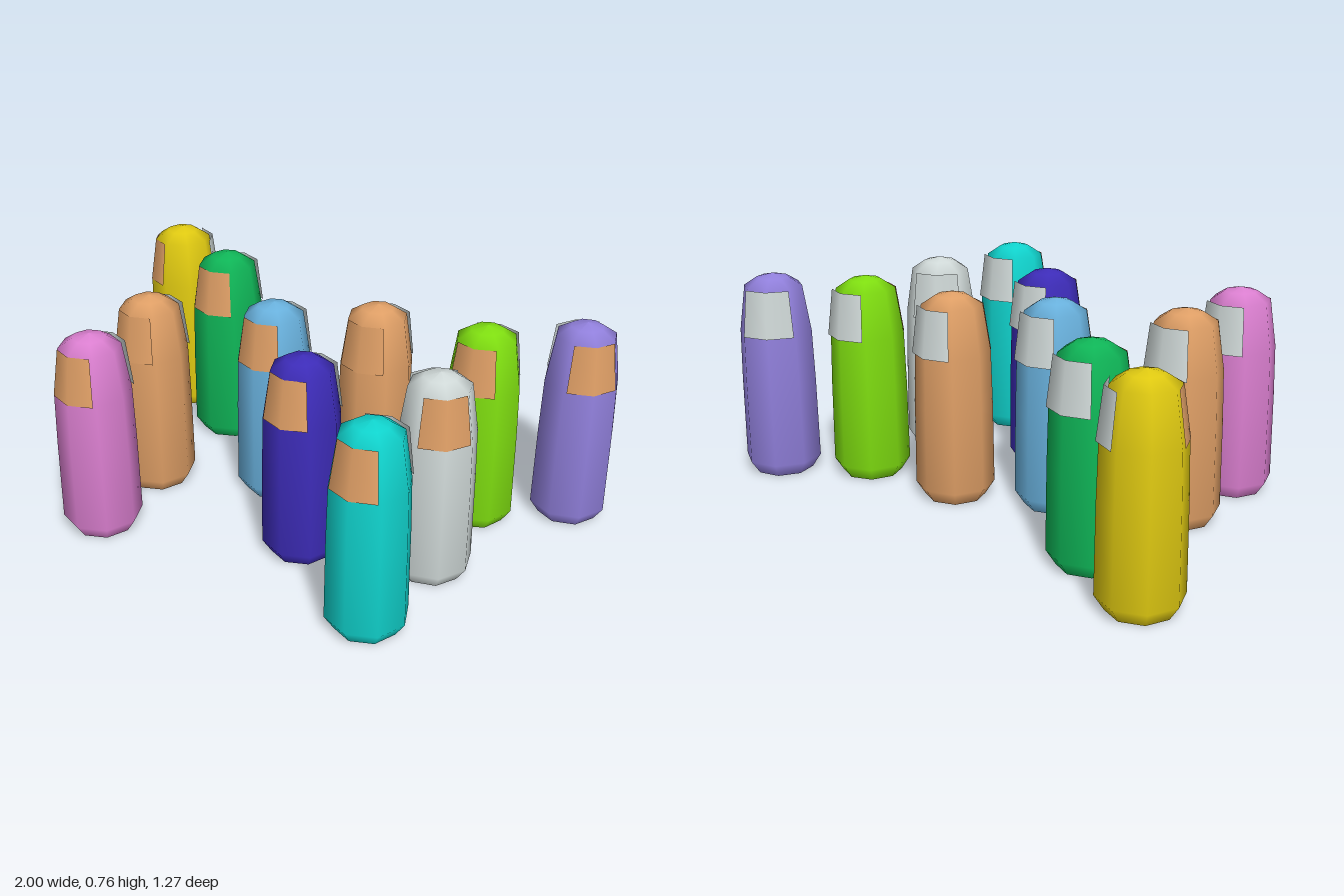
import * as THREE from 'three';

const mat = (name, color) =>
  new THREE.MeshStandardMaterial({ name, color, side: THREE.DoubleSide });

const M = {
  yellow: mat('yellow', 0xdfc911),
  green: mat('green', 0x0fb557),
  blue: mat('sky blue', 0x69b1dd),
  tan: mat('tan', 0xdf9f66),
  pink: mat('pink', 0xdb7fd0),
  indigo: mat('indigo', 0x3d2cb8),
  lime: mat('lime', 0x7fde10),
  grey: mat('pale grey', 0xd0d9d8),
  teal: mat('teal', 0x10d3cd),
  purple: mat('purple', 0x9180dc),
};

const DEG = Math.PI / 180;
const profile = (pts) => pts.map(([r, y]) => new THREE.Vector2(r, y));

// Eight-sided tapered body with a bevelled foot and a low dome
const bodyGeo = new THREE.LatheGeometry(profile([
  [0.108, 0], [0.141, 0.05], [0.138, 0.35], [0.133, 0.54],
  [0.107, 0.71], [0.058, 0.742], [0, 0.756],
]), 8);
const baseGeo = new THREE.CircleGeometry(0.108, 8).rotateX(Math.PI / 2);

// Curved panels: one lies on the front, one stands slightly off the back
const panel = (pts, centre) =>
  new THREE.LatheGeometry(profile(pts), 2, (centre - 40) * DEG, 80 * DEG);
const faceGeo = panel([[0.135, 0.54], [0.1095, 0.71]], 0);
const backGeo = panel([[0.142, 0.54], [0.121, 0.71]], 180);

function makePeg(color, x, z, yaw) {
  const peg = new THREE.Group();
  peg.name = `${color}Peg`;
  const add = (name, geo, material) => {
    const mesh = new THREE.Mesh(geo, material);
    mesh.name = name;
    peg.add(mesh);
  };
  add('body', bodyGeo, M[color]);
  add('base', baseGeo, M[color]);
  add('facePanel', faceGeo, M.tan);
  add('backPanel', backGeo, M.grey);
  peg.position.set(x, 0, z);
  peg.rotation.y = yaw * DEG;
  return peg;
}

// Colour, x, z and turn of each peg
const PEGS = [
  ['yellow', -0.86, -0.48, -43],
  ['green', -0.55, -0.35, 0],
  ['blue', -0.14, -0.06, 0],
  ['tan', -0.55, 0.13, 0],
  ['pink', -0.52, 0.49, 0],
  ['tan', 0.18, -0.24, 0],
  ['indigo', 0.17, 0.24, 0],
  ['lime', 0.58, -0.29, 2],
  ['grey', 0.605, 0.105, 39],
  ['teal', 0.575, 0.49, 0],
  ['purple', 0.857, -0.495, 40],
];

export function createModel() {
  const model = new THREE.Group();
  model.name = 'pegSet';
  for (const p of PEGS) model.add(makePeg(...p));
  return model;
}
